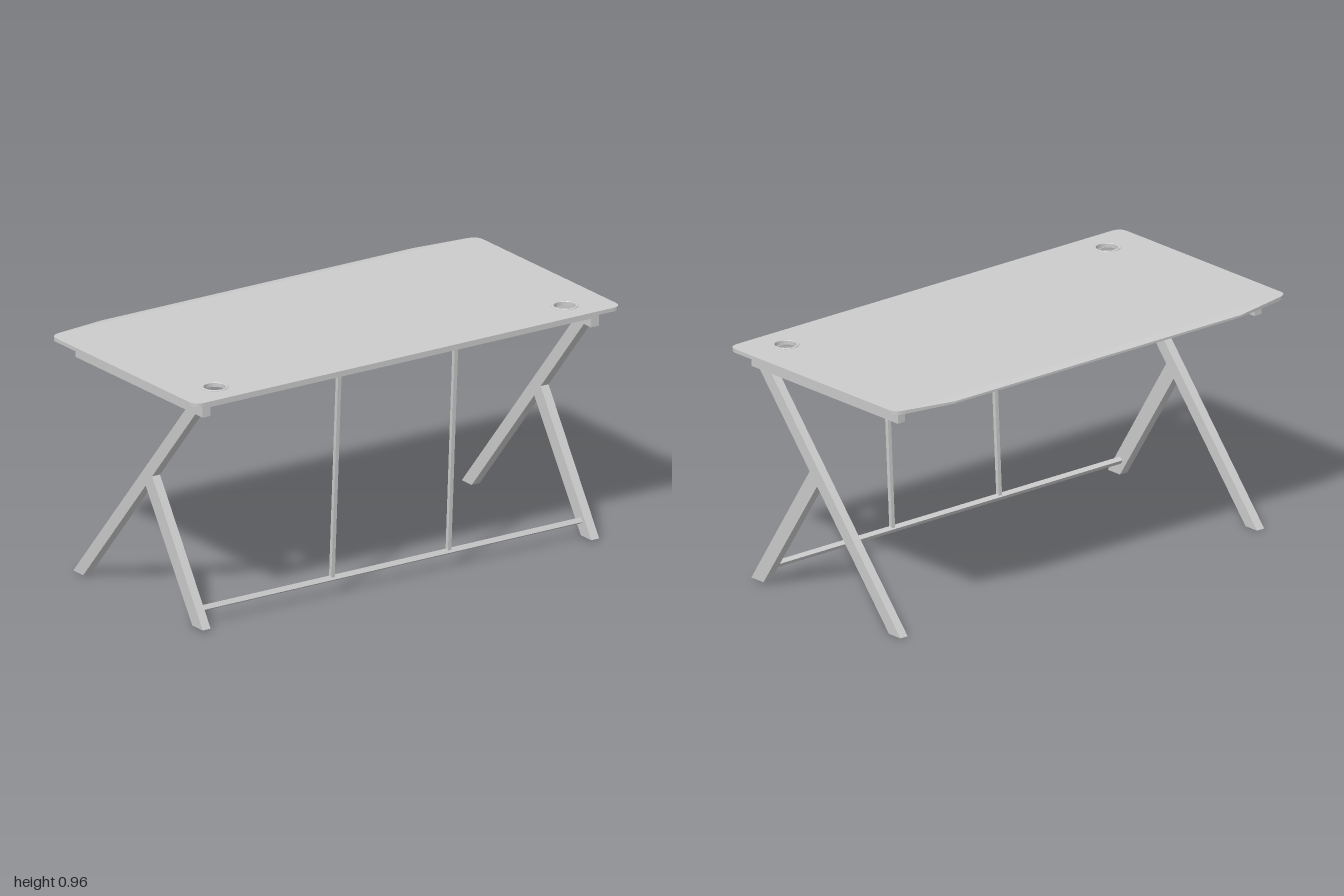
import * as THREE from 'three';

const grey = new THREE.MeshStandardMaterial({ color: 0xcccccc });
const TOP = 0.957, UNDER = 0.942;   // desktop upper and lower faces
const LEG_X = 0.91, LEG_W = 0.037;  // side frame position and width
const HOLE_X = 0.82, HOLE_Z = 0.38; // cable holes

export function createModel() {
  const group = new THREE.Group();

  const add = (name, geometry, x = 0, y = 0, z = 0) => {
    const mesh = new THREE.Mesh(geometry, grey);
    mesh.name = name;
    mesh.position.set(x, y, z);
    group.add(mesh);
    return mesh;
  };

  // Box given by its extents
  const block = (name, x0, x1, y0, y1, z0, z1) =>
    add(name, new THREE.BoxGeometry(x1 - x0, y1 - y0, z1 - z0),
      (x0 + x1) / 2, (y0 + y1) / 2, (z0 + z1) / 2);

  // Horizontal slab from an outline drawn as (x, -z)
  const slab = (shape) => new THREE.ExtrudeGeometry(shape, {
    depth: TOP - UNDER, bevelEnabled: false, curveSegments: 10,
  }).rotateX(-Math.PI / 2);

  // Desktop with rounded corners and two cable holes
  const outline = new THREE.Shape();
  outline.moveTo(-0.955, -0.508);
  outline.lineTo(0.955, -0.508);
  outline.quadraticCurveTo(1, -0.508, 1, -0.463);
  outline.lineTo(1, 0.43);
  outline.quadraticCurveTo(1, 0.465, 0.955, 0.473);
  outline.lineTo(-0.955, 0.473);
  outline.quadraticCurveTo(-1, 0.465, -1, 0.43);
  outline.lineTo(-1, -0.463);
  outline.quadraticCurveTo(-1, -0.508, -0.955, -0.508);
  for (const s of [-1, 1]) {
    const hole = new THREE.Path();
    hole.absarc(s * HOLE_X, -HOLE_Z, 0.047, 0, Math.PI * 2, true);
    outline.holes.push(hole);
  }
  add('desktop', slab(outline), 0, UNDER, 0);

  // Tapered rear lip: its far top edge drops
  const lip = slab(new THREE.Shape([[-0.955, 0.473], [0.955, 0.473], [0.73, 0.512], [-0.73, 0.512]]
    .map(([x, y]) => new THREE.Vector2(x, y))));
  const p = lip.attributes.position;
  for (let i = 0; i < p.count; i++) {
    if (p.getZ(i) < -0.5 && p.getY(i) > 0.01) p.setY(i, 0.009);
  }
  lip.computeVertexNormals();
  add('rearLip', lip, 0, UNDER, 0);

  // Leg: side profile of (z, y) corners extruded across x
  const leg = (name, corners, x) => {
    const shape = new THREE.Shape(corners.map(([z, y]) => new THREE.Vector2(z, y)));
    const geometry = new THREE.ExtrudeGeometry(shape, { depth: LEG_W, bevelEnabled: false });
    add(name, geometry.translate(0, 0, -LEG_W / 2).rotateY(-Math.PI / 2), x);
  };

  // Cable grommet section: flange and sleeve
  const ring = [[0.042, UNDER], [0.047, UNDER], [0.047, TOP], [0.053, TOP],
    [0.053, 0.9585], [0.051, 0.96], [0.044, 0.96], [0.042, 0.958], [0.042, UNDER]]
    .map(([r, y]) => new THREE.Vector2(r, y));

  for (const s of [-1, 1]) {
    const side = s > 0 ? 'left' : 'right';
    const x = s * LEG_X;
    block(side + 'SideRail', x - LEG_W / 2, x + LEG_W / 2, 0.875, UNDER, -0.4, 0.455);
    leg(side + 'LongLeg', [[-0.415, 0], [-0.348, 0], [0.407, 0.876], [0.34, 0.876]], x);
    leg(side + 'FrontLeg', [[0.456, 0.008], [0.385, 0.008], [0.071, 0.489], [0.115, 0.538]], x);

    const grommet = new THREE.LatheGeometry(ring, 32).toNonIndexed();
    grommet.computeVertexNormals();
    add(side + 'Grommet', grommet, s * HOLE_X, 0, HOLE_Z);

    // Slim sloping rod between front rail and crossbar
    const a = new THREE.Vector3(s * 0.273, 0.068, 0.383);
    const b = new THREE.Vector3(s * 0.273, 0.925, 0.43);
    const rod = add(side + 'Rod', new THREE.BoxGeometry(0.016, a.distanceTo(b), 0.016));
    rod.position.lerpVectors(a, b, 0.5);
    rod.rotation.x = Math.atan2(b.z - a.z, b.y - a.y);
  }

  // Cross rails under the desktop
  block('frontRail', -0.895, 0.895, 0.909, UNDER, 0.417, 0.45);
  block('rearRail', -0.895, 0.895, 0.909, UNDER, -0.392, -0.358);

  // Low crossbar, tilted with the front legs
  const bar = add('crossbar', new THREE.BoxGeometry(1.79, 0.02, 0.02), 0, 0.068, 0.383);
  bar.rotation.x = -0.572;

  return group;
}
